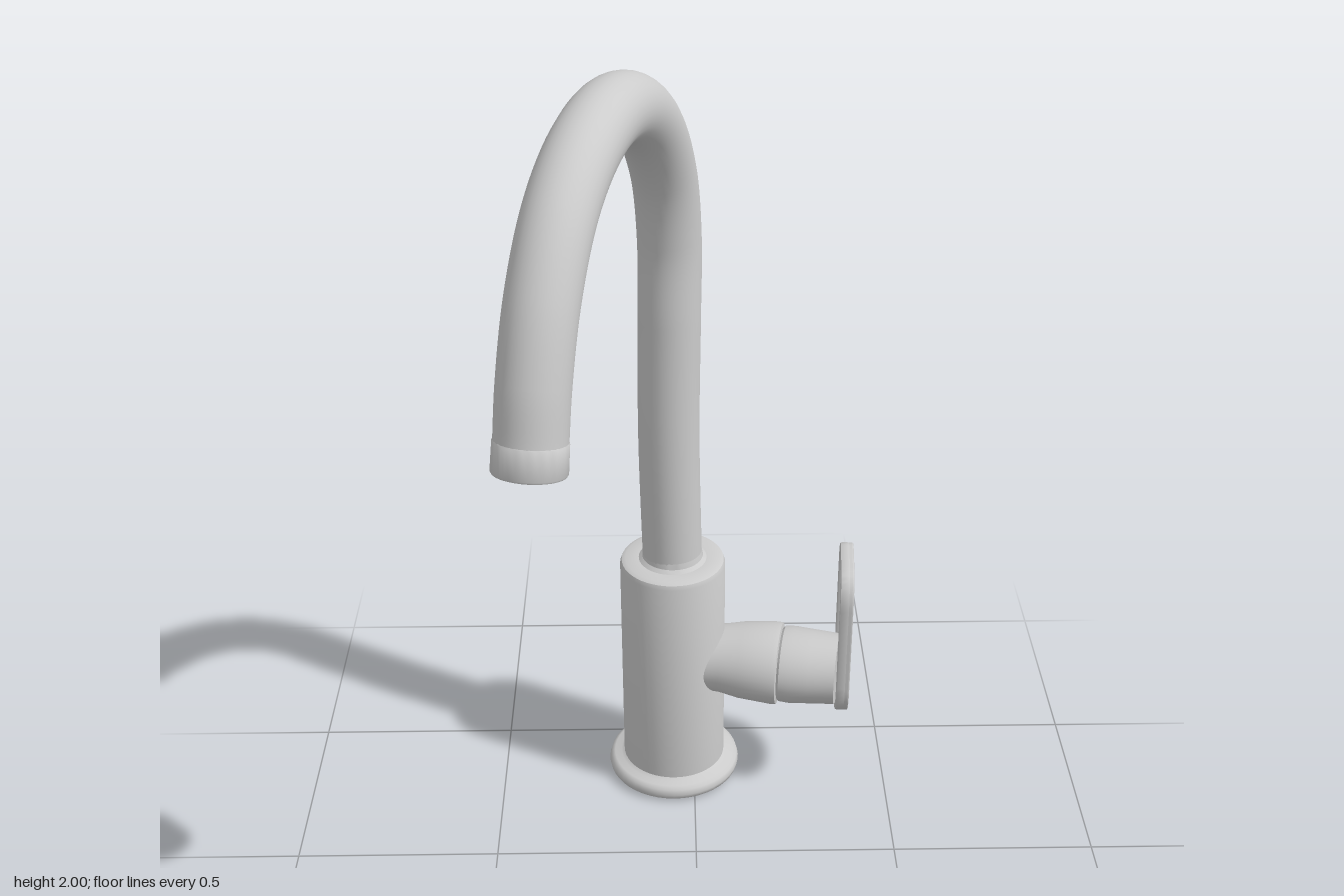
import * as THREE from 'three';
import { toCreasedNormals } from 'three/addons/utils/BufferGeometryUtils.js';

const material = new THREE.MeshStandardMaterial({ color: 0xcccccc, side: THREE.DoubleSide });

function add(parent, name, geometry, crease = 0) {
  const mesh = new THREE.Mesh(crease ? toCreasedNormals(geometry, crease) : geometry, material);
  mesh.name = name;
  parent.add(mesh);
  return mesh;
}

const lathe = (points, sides = 48) =>
  new THREE.LatheGeometry(points.map(([r, y]) => new THREE.Vector2(r, y)), sides);

// Tall paddle outline: softly rounded top, nearly semicircular bottom
function paddle(Type, inset) {
  const w = 0.115 - inset, top = 0.22 - inset, bottom = -0.22 + inset;
  const shape = new Type();
  shape.moveTo(-w, -0.1);
  shape.bezierCurveTo(-w, -0.175, -w * 0.55, bottom, 0, bottom);
  shape.bezierCurveTo(w * 0.55, bottom, w, -0.175, w, -0.1);
  shape.lineTo(w, 0.13);
  shape.bezierCurveTo(w, 0.19, w * 0.75, top, w * 0.4, top);
  shape.lineTo(-w * 0.4, top);
  shape.bezierCurveTo(-w * 0.75, top, -w, 0.19, -w, 0.13);
  shape.closePath();
  return shape;
}

export function createModel() {
  const faucet = new THREE.Group();
  faucet.name = 'faucet';
  const baseX = -0.053, baseZ = -0.364;

  // Hollow body, open from below
  const body = add(faucet, 'body', lathe([
    [0, 0.6], [0.115, 0.6], [0.12, 0.02], [0.132, 0.02], [0.132, 0.636],
    [0.128, 0.647], [0.118, 0.652], [0.085, 0.652], [0.076, 0.66], [0.073, 0.675],
  ]), 0.6);
  body.position.set(baseX, 0, baseZ);

  // Rounded foot ring
  const foot = add(faucet, 'footRing', lathe([
    [0.122, 0.008], [0.135, 0], [0.158, 0], [0.168, 0.008], [0.171, 0.02],
    [0.167, 0.034], [0.157, 0.041], [0.14, 0.043], [0.131, 0.05],
  ]), 0.7);
  foot.position.set(baseX, 0, baseZ);

  // Gooseneck: [z, y] profile swung sideways towards the model's right
  const path = [
    [-0.364, 0.62], [-0.37, 1.0], [-0.38, 1.3], [-0.385, 1.5], [-0.35, 1.67], [-0.26, 1.81],
    [-0.14, 1.895], [-0.005, 1.925], [0.14, 1.898], [0.265, 1.82], [0.36, 1.695],
    [0.42, 1.55], [0.447, 1.44],
  ].map(([z, y]) => new THREE.Vector3(-0.055 - 0.324 * Math.max(0, z + 0.385), y, z));
  path[0].x = baseX;
  const curve = new THREE.CatmullRomCurve3(path, false, 'centripetal');
  add(faucet, 'spout', new THREE.TubeGeometry(curve, 120, 0.074, 32));

  // Outlet sleeve with a recessed mouth, aligned to the end of the spout
  const outlet = add(faucet, 'outlet', lathe([
    [0.073, -0.004], [0.0755, 0], [0.0765, 0.06], [0.074, 0.064],
    [0.067, 0.064], [0.064, 0.06], [0.064, -0.02], [0, -0.02],
  ], 40), 0.6);
  outlet.position.copy(path.at(-1));
  outlet.quaternion.setFromUnitVectors(new THREE.Vector3(0, 1, 0), curve.getTangent(1));

  // Side valve: two stepped barrels pointing to the left and slightly forward
  const valve = new THREE.Group();
  valve.name = 'valve';
  valve.position.set(baseX, 0.355, baseZ);
  valve.rotation.y = -0.18;
  faucet.add(valve);
  const barrels = {
    valveHousing: [[0.09, 0.06], [0.095, 0.13], [0.106, 0.18], [0.114, 0.265], [0.112, 0.277], [0.095, 0.28]],
    leverCollar: [[0.095, 0.275], [0.104, 0.285], [0.106, 0.31], [0.102, 0.36], [0.097, 0.425], [0, 0.425]],
  };
  for (const [name, profile] of Object.entries(barrels)) {
    const geometry = lathe(profile, 40);
    geometry.rotateZ(-Math.PI / 2).scale(1, 0.9, 1);
    add(valve, name, geometry, 0.6);
  }

  // Upright lever paddle: thin outer plate with a raised rim on its inner face
  const lever = new THREE.Group();
  lever.name = 'lever';
  lever.position.set(0.382, 0.48, -0.281);
  lever.rotation.y = Math.PI / 2 - 0.07;
  faucet.add(lever);
  const bevel = { bevelEnabled: true, bevelThickness: 0.004, bevelSize: 0.004, bevelOffset: -0.004, bevelSegments: 2, curveSegments: 14 };
  add(lever, 'leverPlate', new THREE.ExtrudeGeometry(paddle(THREE.Shape, 0), { ...bevel, depth: 0.007 }), 0.7);
  const rimShape = paddle(THREE.Shape, 0);
  rimShape.holes.push(paddle(THREE.Path, 0.016));
  const rim = add(lever, 'leverRim', new THREE.ExtrudeGeometry(rimShape, { ...bevel, depth: 0.018 }), 0.7);
  rim.position.z = -0.018;

  return faucet;
}
